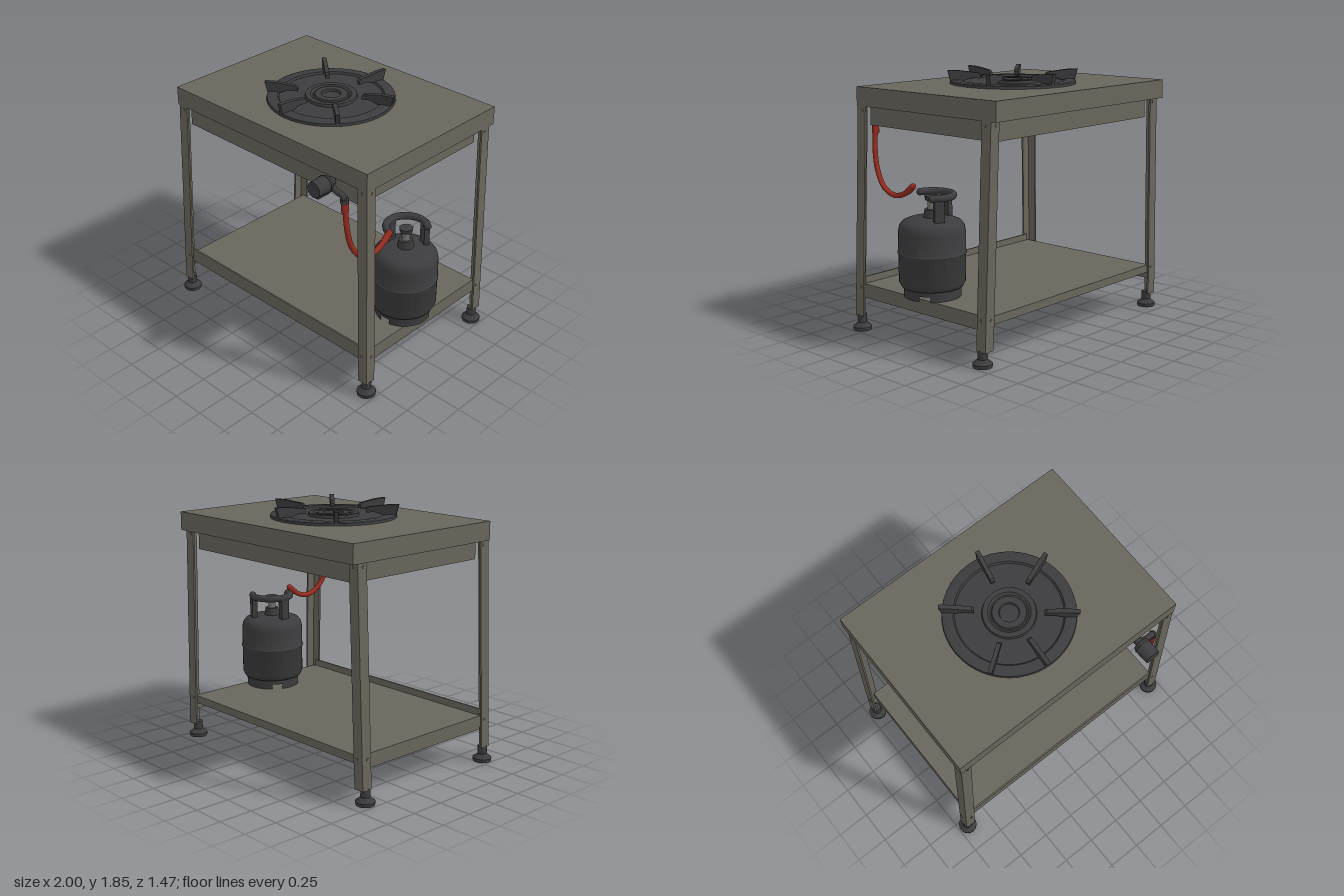
import * as THREE from 'three';
import { toCreasedNormals } from 'three/addons/utils/BufferGeometryUtils.js';

export function createModel() {
  const model = new THREE.Group();
  const paint = (name, color, side = THREE.FrontSide) => {
    const m = new THREE.MeshStandardMaterial({ color, side });
    m.name = name;
    return m;
  };
  const sheet = paint('tableSteel', 0x69665c);
  const iron = paint('darkIron', 0x3c3c3e, THREE.DoubleSide);
  const red = paint('redHose', 0x9a2c20);
  const metal = paint('valveMetal', 0x74736e);

  const add = (name, geometry, material, x = 0, y = 0, z = 0, parent = model) => {
    const mesh = new THREE.Mesh(geometry, material);
    mesh.name = name;
    mesh.position.set(x, y, z);
    parent.add(mesh);
    return mesh;
  };
  // Box given by its limits on each axis
  const block = (name, x0, x1, y0, y1, z0, z1) =>
    add(name, new THREE.BoxGeometry(x1 - x0, y1 - y0, z1 - z0), sheet,
      (x0 + x1) / 2, (y0 + y1) / 2, (z0 + z1) / 2);
  const lathe = (points, segments, crease = 0.6) => toCreasedNormals(
    new THREE.LatheGeometry(points.map(p => new THREE.Vector2(...p)), segments), crease);
  const tube = (points, radius, segments = 32) => new THREE.TubeGeometry(
    new THREE.CatmullRomCurve3(points.map(p => new THREE.Vector3(...p))), segments, radius, 12);

  // Table top, apron and lower shelf
  block('tableTop', -0.915, 0.91, 1.617, 1.752, -0.735, 0.577);
  block('apron', -0.82, 0.82, 1.475, 1.617, -0.645, 0.54);
  block('shelf', -0.885, 0.885, 0.275, 0.333, -0.66, 0.555);
  block('shelfFrontLip', -0.885, 0.885, 0.272, 0.383, 0.555, 0.567);
  for (const s of [-1, 1]) {
    const x = s * 0.892;
    block('shelfSidePlate', x - 0.007, x + 0.007, 0.23, 0.333, -0.66, 0.555);
  }

  // Splayed angle-iron legs with bolts and levelling feet
  const legY0 = 0.108, legY1 = 1.618;
  const legGeometry = (sx, sz, zTop, zBottom) => {
    const w = 0.08, t = 0.014;
    const outline = [[0, 0], [w, 0], [w, t], [t, t], [t, w], [0, w]]
      .map(([a, b]) => new THREE.Vector2(-sx * a, sz * b));
    const g = new THREE.ExtrudeGeometry(new THREE.Shape(outline),
      { depth: legY1 - legY0, bevelEnabled: false });
    g.rotateX(-Math.PI / 2);
    const p = g.attributes.position;
    for (let i = 0; i < p.count; i++) {
      const k = p.getY(i) / (legY1 - legY0);
      p.setXYZ(i, p.getX(i) + sx * (0.957 - 0.05 * k), p.getY(i) + legY0,
        p.getZ(i) + zBottom + (zTop - zBottom) * k);
    }
    g.computeVertexNormals();
    return g;
  };
  const footGeometry = lathe([[0, 0], [0.066, 0], [0.068, 0.025], [0.042, 0.045],
    [0.034, 0.055], [0.034, 0.115], [0, 0.115]], 20);
  for (const sx of [-1, 1]) {
    for (const [sz, zTop, zBottom, footZ] of [[1, 0.572, 0.592, 0.558], [-1, -0.69, -0.681, -0.628]]) {
      add('leg', legGeometry(sx, sz, zTop, zBottom), sheet);
      add('foot', footGeometry, iron, sx * 0.926, 0, footZ);
      for (const y of [0.32, 1.59]) {
        const k = (y - legY0) / (legY1 - legY0);
        const faceX = 0.957 - 0.05 * k, faceZ = zBottom + (zTop - zBottom) * k;
        const bolt = new THREE.CylinderGeometry(0.011, 0.011, 0.008, 8);
        add('sideBolt', bolt, sheet, sx * faceX, y, faceZ - sz * 0.05).rotation.z = Math.PI / 2;
        add('endBolt', bolt, sheet, sx * (faceX - 0.05), y, faceZ).rotation.x = Math.PI / 2;
      }
    }
  }

  // Cast burner: stepped dish with raised rim and central rings
  const burner = new THREE.Group();
  burner.name = 'burner';
  burner.position.set(-0.008, 1.752, -0.063);
  model.add(burner);
  add('burnerDish', lathe([[0.453, 0], [0.45, 0.018], [0.435, 0.024], [0.375, 0.024], [0.365, 0.01],
    [0.185, 0.01], [0.18, 0.03], [0.145, 0.03], [0.13, 0.018], [0.12, 0.018], [0.115, 0.03],
    [0.07, 0.03], [0.065, 0.012], [0, 0.012]], 48), iron, 0, 0, 0, burner);

  // Six radial pan supports
  const finShape = new THREE.Shape([[0.36, 0.018], [0.45, 0.018], [0.47, 0.095], [0.39, 0.093],
    [0.25, 0.075], [0.235, 0.06], [0.235, 0.035], [0.3, 0.038]].map(p => new THREE.Vector2(...p)));
  const fin = new THREE.ExtrudeGeometry(finShape, { depth: 0.03, bevelEnabled: false });
  fin.translate(0, 0, -0.015);
  for (const degrees of [-79, -20, 41, 95, 144, -140]) {
    add('panSupport', fin, iron, 0, 0, 0, burner).rotation.y = -degrees * Math.PI / 180;
  }

  // Gas bottle, standing on the shelf
  const bottle = new THREE.Group();
  bottle.name = 'gasBottle';
  bottle.position.set(0.765, 0, -0.006);
  model.add(bottle);
  add('bottleBody', lathe([[0, 0.385], [0.17, 0.39], [0.215, 0.405], [0.233, 0.44], [0.234, 0.636],
    [0.239, 0.64], [0.239, 0.651], [0.234, 0.655], [0.234, 0.79], [0.226, 0.83], [0.205, 0.858],
    [0.165, 0.876], [0.08, 0.886], [0, 0.888]], 36, 0.9), iron, 0, 0, 0, bottle);
  add('bottleSkirt', new THREE.CylinderGeometry(0.2, 0.2, 0.05, 36, 1, true), iron, 0, 0.395, 0, bottle);
  for (let i = 0; i < 3; i++) {
    add('skirtFoot', new THREE.CylinderGeometry(0.2, 0.2, 0.04, 16, 1, true,
      i * Math.PI * 2 / 3 + 0.2, 1.7), iron, 0, 0.353, 0, bottle);
  }

  // Carrying handle: open ring on two posts
  const around = (degrees, r, y) => {
    const a = degrees * Math.PI / 180;
    return [r * Math.cos(a), y, r * Math.sin(a)];
  };
  const ring = [];
  for (let d = -45; d >= -260; d -= 21.5) ring.push(around(d, 0.145, 0));
  const handle = add('handleRing', tube(ring, 0.026, 40), iron, 0, 1.04, -0.005, bottle);
  for (const d of [-45, -260]) {
    add('handleEnd', new THREE.SphereGeometry(0.026, 12, 8), iron, ...around(d, 0.145, 0), handle);
  }
  for (const d of [-65, -180]) {
    const [x, , z] = around(d, 0.145, 0);
    const post = add('handlePost', new THREE.BoxGeometry(0.04, 0.19, 0.07), iron, x, 0.95, z, bottle);
    post.rotation.y = -d * Math.PI / 180;
  }

  // Bottle valve and knob
  add('valveNeck', new THREE.CylinderGeometry(0.05, 0.06, 0.065, 20), iron, 0, 0.91, 0, bottle);
  add('valveStem', new THREE.CylinderGeometry(0.026, 0.03, 0.08, 16), metal, 0, 0.97, 0, bottle);
  add('valveKnob', new THREE.CylinderGeometry(0.05, 0.045, 0.03, 10), iron, 0, 1.02, 0, bottle);

  // Control knob on the front edge
  const control = new THREE.Group();
  control.name = 'controlKnob';
  control.position.set(0.595, 1.578, 0.57);
  control.rotation.x = Math.PI / 2;
  model.add(control);
  add('knobStem', new THREE.CylinderGeometry(0.03, 0.03, 0.06, 16), iron, 0, 0.015, 0, control);
  add('knobCollar', new THREE.CylinderGeometry(0.064, 0.05, 0.03, 20), iron, 0, 0.045, 0, control);
  add('knobBody', new THREE.CylinderGeometry(0.056, 0.06, 0.105, 20), iron, 0, 0.11, 0, control);
  add('knobPointer', new THREE.BoxGeometry(0.025, 0.1, 0.025), iron, 0.015, 0.1, 0.052, control);

  // Elbow, fitting and hanging hose
  add('elbow', tube([[0.61, 1.565, 0.59], [0.67, 1.535, 0.59], [0.715, 1.525, 0.59],
    [0.73, 1.47, 0.587]], 0.021, 16), iron);
  add('elbowNut', new THREE.CylinderGeometry(0.03, 0.03, 0.035, 6), iron, 0.73, 1.49, 0.587);
  add('hoseSleeve', new THREE.CylinderGeometry(0.026, 0.026, 0.075, 14), red, 0.734, 1.445, 0.586);
  const hoseEnd = [0.765, 1.075, 0.175];
  add('hose', tube([[0.735, 1.46, 0.585], [0.747, 1.3, 0.582], [0.756, 1.15, 0.55],
    [0.765, 1.035, 0.475], [0.767, 0.988, 0.37], [0.766, 1.01, 0.265], hoseEnd], 0.019, 48), red);
  add('hoseTip', tube([[0.766, 1.03, 0.23], [0.765, 1.055, 0.2], hoseEnd], 0.023, 8), red);
  add('hoseCap', new THREE.SphereGeometry(0.022, 12, 8), red, ...hoseEnd);

  return model;
}
